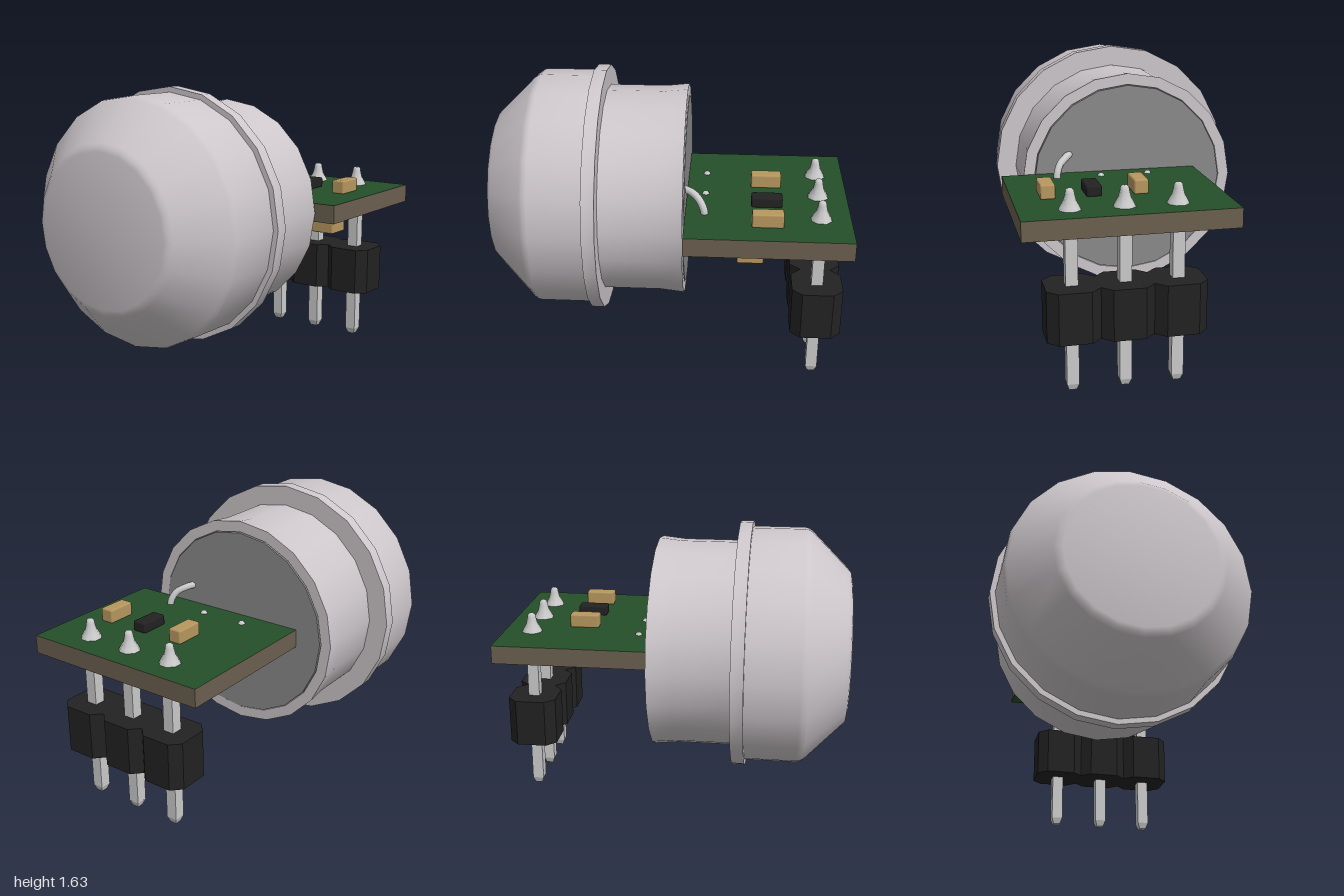
import * as THREE from 'three';
import { toCreasedNormals } from 'three/addons/utils/BufferGeometryUtils.js';
import { RoundedBoxGeometry } from 'three/addons/geometries/RoundedBoxGeometry.js';

const mat = (color) => new THREE.MeshStandardMaterial({ color });

export function createModel() {
  const model = new THREE.Group();
  const metal = mat(0xcccccc);
  const shell = mat(0xcdc7cb);
  const black = mat(0x222222);
  const tan = mat(0xb8985f);
  const green = mat(0x24502a);
  const fibre = mat(0x6b6050);

  const add = (name, geometry, material, x = 0, y = 0, z = 0) => {
    const mesh = new THREE.Mesh(geometry, material);
    mesh.name = name;
    mesh.position.set(x, y, z);
    model.add(mesh);
    return mesh;
  };

  // Sensor can: 20-sided turned profile [radius, z], from the rear rim to the front face
  const profile = [
    [0.54, -0.06], [0.55, -0.092], [0.612, -0.092], [0.598, 0.04], [0.598, 0.365],
    [0.712, 0.365], [0.712, 0.437], [0.682, 0.437], [0.682, 0.73],
    [0.678, 0.75], [0.664, 0.772], [0.46, 0.975], [0.44, 0.993], [0.415, 1], [0, 1],
  ].map(([r, z]) => new THREE.Vector2(r, z));
  const can = new THREE.LatheGeometry(profile, 20).rotateX(Math.PI / 2);
  add('sensorCan', toCreasedNormals(can, 0.6), shell, -0.01, 0.92, 0);

  // Rear plate closing the can
  const plate = new THREE.CylinderGeometry(0.545, 0.545, 0.1, 20).rotateX(Math.PI / 2);
  add('rearPlate', toCreasedNormals(plate, 0.6), mat(0x8a8a8a), -0.01, 0.92, -0.048);

  // Circuit board: green top and bottom, bare edges
  add('circuitBoard', new THREE.BoxGeometry(1.12, 0.105, 0.9),
    [fibre, fibre, green, green, fibre, fibre], 0.16, 0.9225, -0.55);

  // Surface parts: name, size, centre, material
  const chips = [
    ['topCapacitorA', [0.08, 0.08, 0.172], [0.037, 1.012, -0.547], tan],
    ['topResistor', [0.085, 0.06, 0.172], [0.29, 1.002, -0.547], black],
    ['topCapacitorB', [0.08, 0.08, 0.172], [0.534, 1.012, -0.547], tan],
    ['bottomCapacitor', [0.22, 0.14, 0.145], [0.44, 0.81, -0.46], tan],
    ['bottomRegulator', [0.18, 0.1, 0.28], [0.1, 0.83, -0.47], black],
  ];
  for (const [name, size, at, material] of chips) {
    add(name, new RoundedBoxGeometry(...size, 1, 0.01), material, ...at);
  }

  // Pin header: chamfered housing, square pin with pointed end, solder cone
  const a = 0.14, c = 0.085;
  const outline = new THREE.Shape([
    [a, -c], [a, c], [c, a], [-c, a], [-a, c], [-a, -c], [-c, -a], [c, -a],
  ].map(([x, y]) => new THREE.Vector2(x, y)));
  const housing = new THREE.ExtrudeGeometry(outline, { depth: 0.277, bevelEnabled: false })
    .rotateX(-Math.PI / 2);
  const tip = toCreasedNormals(
    new THREE.CylinderGeometry(0.046, 0.028, 0.035, 4).rotateY(Math.PI / 4), 0.3);
  const solderProfile = [
    [0.06, 0], [0.05, 0.02], [0.033, 0.05], [0.025, 0.085], [0.022, 0.102], [0.013, 0.11], [0, 0.11],
  ].map(([r, y]) => new THREE.Vector2(r, y));
  const solder = new THREE.LatheGeometry(solderProfile, 8).rotateY(Math.PI / 8);
  for (let i = 0; i < 3; i++) {
    const x = -0.105 + i * 0.28, z = -0.838;
    add('headerHousing', housing, black, x, 0.303, z);
    add('headerPin', new THREE.BoxGeometry(0.065, 0.94, 0.065), metal, x, 0.505, z);
    add('headerPinTip', tip, metal, x, 0.0175, z);
    add('solderCone', solder, metal, x, 0.974, z);
  }

  // Sensor leads: each loops from the rear plate to its hole in the board
  const leads = [
    { hole: 0.42, plate: 0.33, side: 1 },
    { hole: 0.17, plate: 0.24, side: -1 },
    { hole: -0.1, plate: -0.1, side: -1 },
  ];
  for (const { hole, plate: px, side } of leads) {
    const at = (t, dy, z) =>
      new THREE.Vector3(px + (hole - px) * t, 0.92 + side * dy, z);
    const path = new THREE.CatmullRomCurve3([
      at(0, side > 0 ? 0.16 : 0.195, -0.085), at(0.3, side > 0 ? 0.152 : 0.185, -0.13),
      at(0.75, 0.125, -0.175), at(1, 0.07, -0.203), at(1, 0, -0.205),
    ]);
    add('sensorLead', new THREE.TubeGeometry(path, 16, 0.021, 8), metal);
    add('leadEnd', new THREE.SphereGeometry(0.022, 8, 6), metal, hole, 0.92 - side * 0.05, -0.205);
  }

  return model;
}
